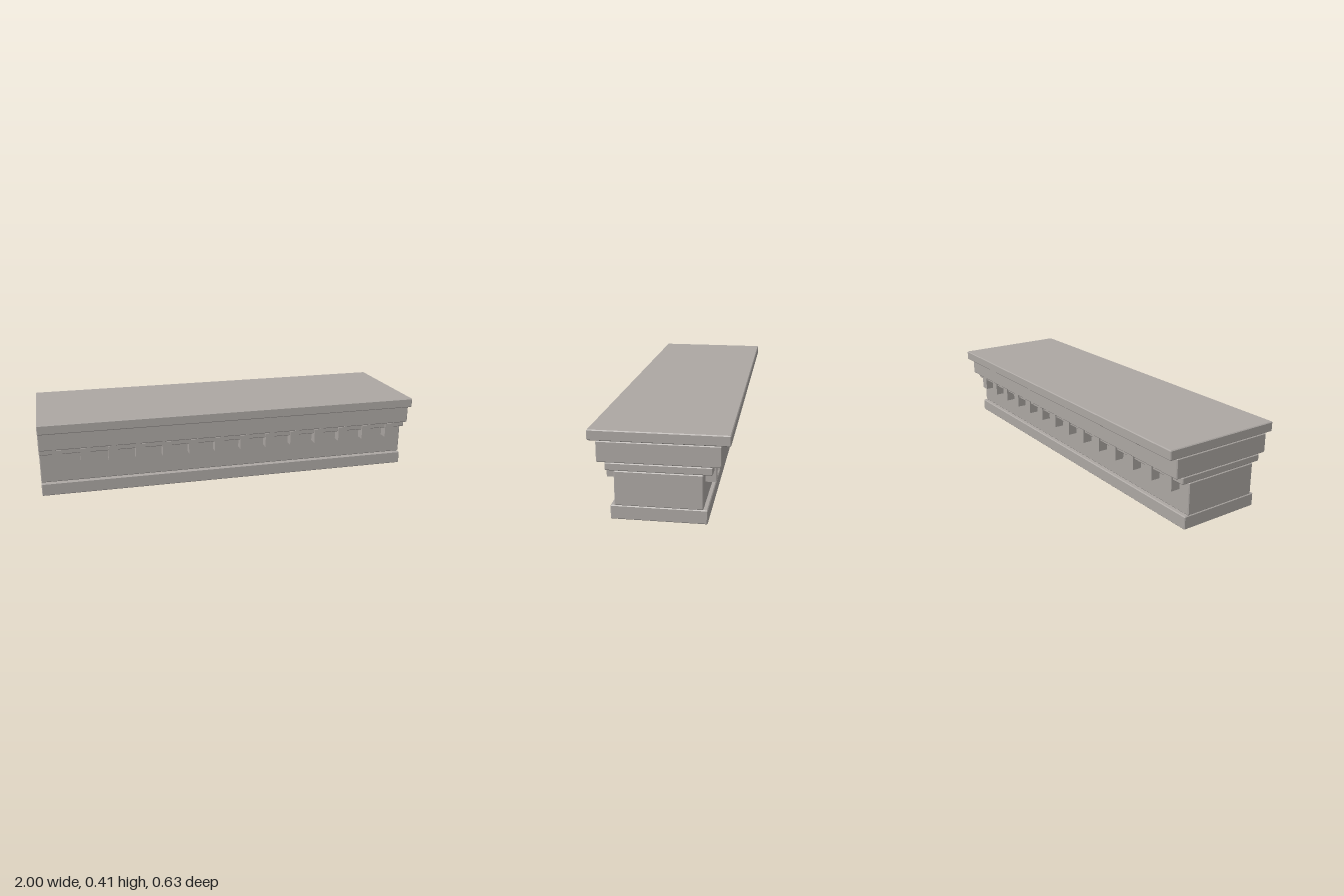
import * as THREE from 'three';
import { ConvexGeometry } from 'three/addons/geometries/ConvexGeometry.js';

// Box with every edge and corner chamfered by c
function chamferedBox(w, h, d, c) {
  const points = [];
  for (const x of [-w / 2, w / 2])
    for (const y of [-h / 2, h / 2])
      for (const z of [-d / 2, d / 2]) {
        const ix = x - Math.sign(x) * c, iy = y - Math.sign(y) * c, iz = z - Math.sign(z) * c;
        points.push(
          new THREE.Vector3(x, iy, iz),
          new THREE.Vector3(ix, y, iz),
          new THREE.Vector3(ix, iy, z));
      }
  return new ConvexGeometry(points);
}

export function createModel() {
  const model = new THREE.Group();
  model.name = 'cornice';
  const stone = new THREE.MeshStandardMaterial({ color: 0xaca7a3 });
  stone.name = 'warm grey stone';

  // Stacked mouldings: name, bottom, top, depth
  const courses = [
    ['baseCourse', 0, 0.066, 0.432],
    ['frieze', 0.066, 0.227, 0.394],
    ['bedMoulding', 0.227, 0.263, 0.474],
    ['corona', 0.263, 0.36, 0.548],
    ['capSlab', 0.36, 0.409, 0.626],
  ];
  for (const [name, y0, y1, depth] of courses) {
    const mesh = new THREE.Mesh(chamferedBox(2, y1 - y0, depth, 0.004), stone);
    mesh.name = name;
    mesh.position.y = (y0 + y1) / 2;
    model.add(mesh);
  }

  // Rows of dentil blocks along front and back
  const count = 14, first = -0.91, spacing = 0.14;
  const block = new THREE.BoxGeometry(0.05, 0.078, 0.055);
  for (const side of [1, -1]) {
    const row = new THREE.Group();
    row.name = side > 0 ? 'frontDentils' : 'backDentils';
    for (let i = 0; i < count; i++) {
      const dentil = new THREE.Mesh(block, stone);
      dentil.name = 'dentil';
      dentil.position.set(first + i * spacing, 0.213, side * 0.2175);
      row.add(dentil);
    }
    model.add(row);
  }
  return model;
}
